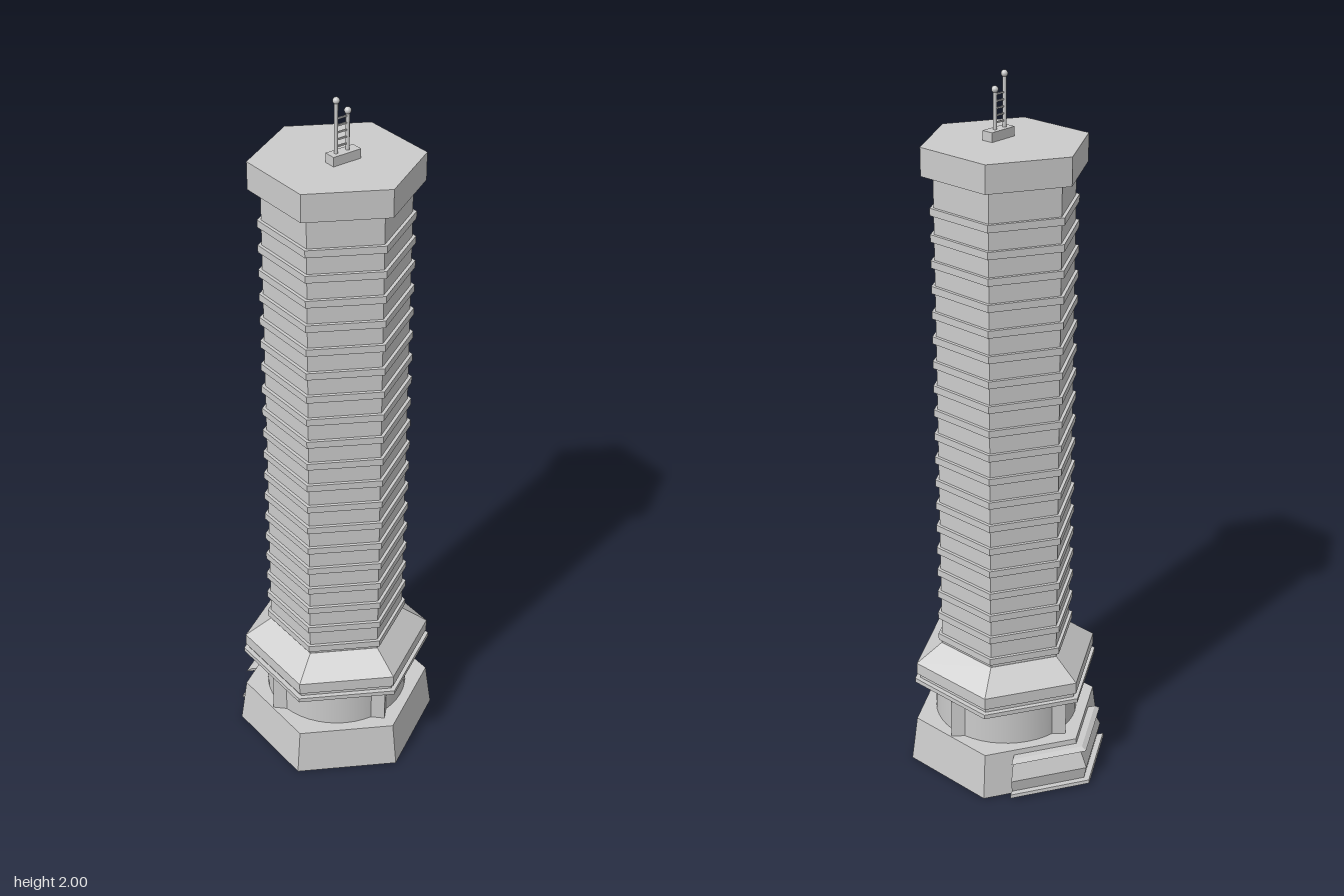
import * as THREE from 'three';

const flat = new THREE.MeshStandardMaterial({ color: 0xcccccc, flatShading: true });
const shell = new THREE.MeshStandardMaterial({ color: 0xcccccc, flatShading: true, side: THREE.DoubleSide });
const smooth = new THREE.MeshStandardMaterial({ color: 0xcccccc });
const CX = 0.018; // tower axis

function add(parent, name, geometry, material, x = 0, y = 0, z = 0) {
  const mesh = new THREE.Mesh(geometry, material);
  mesh.name = name;
  mesh.position.set(x, y, z);
  parent.add(mesh);
  return mesh;
}

// Six-sided tapered prism between two heights, corners on +x and -x
function hex(parent, name, y0, y1, r0, r1 = r0, open = false) {
  const g = new THREE.CylinderGeometry(r1, r0, y1 - y0, 6, 1, open, Math.PI / 2);
  return add(parent, name, g, open ? shell : flat, CX, (y0 + y1) / 2, 0);
}

// V-shaped outline wrapping the -x corner; a is the x of the outer point
function chevron(a, y) {
  const inner = -0.24;
  const end = (p) => [-0.19 + 0.5 * (p + 0.311), 0.21 - 0.866 * (p + 0.311)];
  const [ox, oz] = end(a), [ix, iz] = end(inner);
  return [[a, 0], [ox, oz], [ix, iz], [inner, 0], [ix, -iz], [ox, -oz]]
    .map(([x, z]) => new THREE.Vector3(x, y, z));
}

// Joins chevron outlines [apexX, y] from bottom to top and closes both ends
function loftChevron(levels) {
  const loops = levels.map(([a, y]) => chevron(a, y));
  const pts = [];
  for (let i = 0; i < loops.length - 1; i++) {
    const lo = loops[i], up = loops[i + 1];
    for (let j = 0; j < 6; j++) {
      const k = (j + 1) % 6;
      pts.push(lo[j], lo[k], up[k], lo[j], up[k], up[j]);
    }
  }
  const bottom = loops[0], top = loops[loops.length - 1];
  for (const [a, b, c, d] of [[0, 1, 2, 3], [3, 4, 5, 0]]) {
    pts.push(top[a], top[b], top[c], top[a], top[c], top[d]);
    pts.push(bottom[a], bottom[c], bottom[b], bottom[a], bottom[d], bottom[c]);
  }
  const g = new THREE.BufferGeometry().setFromPoints(pts);
  g.computeVertexNormals();
  return g;
}

export function createModel() {
  const model = new THREE.Group();
  model.name = 'hexagonalTower';

  // Hollow plinth, open underneath
  hex(model, 'plinthWall', 0, 0.135, 0.288, 0.27, true);
  const deck = new THREE.CircleGeometry(0.27, 6).rotateX(-Math.PI / 2);
  add(model, 'plinthDeck', deck, shell, CX, 0.135, 0);

  // Slanted entrance bay around one corner, with thin sill and canopy
  const bay = new THREE.Group();
  bay.name = 'entranceBay';
  model.add(bay);
  add(bay, 'baySill', loftChevron([[-0.305, 0.007], [-0.303, 0.017]]), shell);
  add(bay, 'bayWall', loftChevron([[-0.285, 0.017], [-0.293, 0.055], [-0.265, 0.113]]), shell);
  add(bay, 'bayCanopy', loftChevron([[-0.29, 0.111], [-0.275, 0.12]]), shell);

  // Recessed round lobby with four angular posts
  add(model, 'lobbyDrum', new THREE.CylinderGeometry(0.205, 0.205, 0.125, 48), smooth, CX, 0.1975, 0);
  for (let i = 0; i < 4; i++) {
    const a = i * Math.PI / 2;
    const post = add(model, 'lobbyPost', new THREE.BoxGeometry(0.045, 0.125, 0.045), flat,
      CX + 0.199 * Math.cos(a), 0.1975, 0.199 * Math.sin(a));
    post.rotation.y = Math.PI / 4;
  }

  // Stepped skirt
  hex(model, 'skirtLip', 0.26, 0.273, 0.273);
  hex(model, 'skirtGroove', 0.273, 0.287, 0.258);
  hex(model, 'skirtBand', 0.287, 0.322, 0.267);
  hex(model, 'skirtSlope', 0.322, 0.378, 0.267, 0.192);

  // Shaft with floor bands
  hex(model, 'shaft', 0.37, 1.76, 0.191);
  for (let i = 0; i < 19; i++) {
    const y = 0.4 + i * 0.07;
    hex(model, 'floorBand', y - 0.01, y + 0.01, 0.201);
  }

  // Roof cap
  hex(model, 'roofCap', 1.755, 1.83, 0.223);

  // Twin masts joined by rungs
  const mx = 0.042;
  add(model, 'mastBase', new THREE.BoxGeometry(0.033, 0.025, 0.084), flat, mx, 1.8425, 0);
  for (const [z, top] of [[0.022, 2.0], [-0.013, 1.966]]) {
    const h = top - 0.008 - 1.85;
    add(model, 'mast', new THREE.CylinderGeometry(0.005, 0.005, h, 10), smooth, mx, 1.85 + h / 2, z);
    add(model, 'mastBall', new THREE.SphereGeometry(0.009, 16, 10), smooth, mx, top - 0.009, z);
  }
  for (let i = 0; i < 5; i++) {
    add(model, 'mastRung', new THREE.BoxGeometry(0.004, 0.004, 0.035), flat, mx, 1.872 + i * 0.018, 0.0045);
  }
  return model;
}
